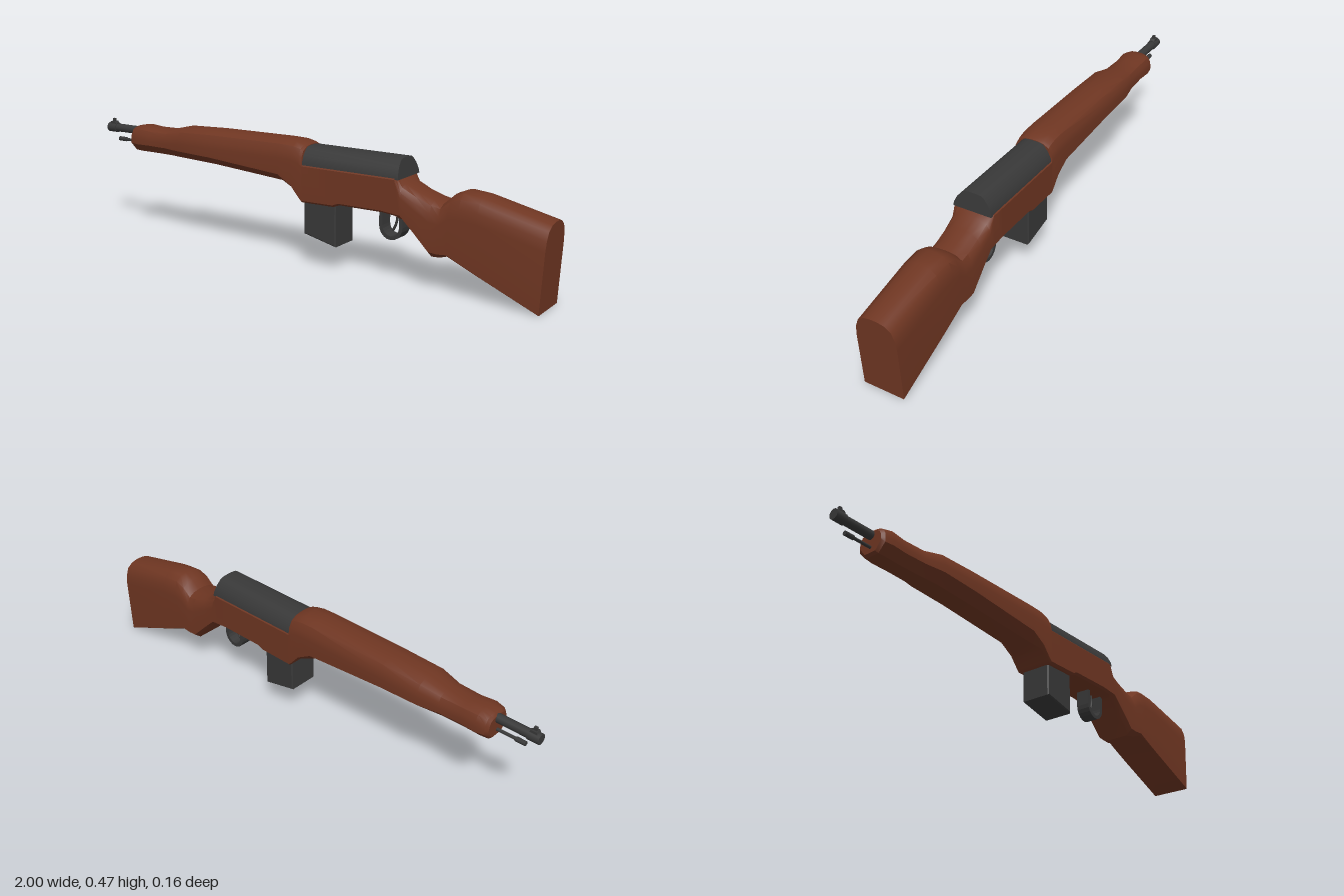
import * as THREE from 'three';
import { toCreasedNormals } from 'three/addons/utils/BufferGeometryUtils.js';

const wood = new THREE.MeshStandardMaterial({ name: 'walnut', color: 0x6f3622 });
const steel = new THREE.MeshStandardMaterial({ name: 'dark steel', color: 0x383838 });
const { smoothstep } = THREE.MathUtils;

// Joins closed rings of [x, y, z] points, running along +x, into a capped solid
function loft(rings, crease) {
  const n = rings[0].length, pos = rings.flat(2), idx = [];
  for (let i = 0; i < rings.length - 1; i++) {
    for (let j = 0; j < n; j++) {
      const a = i * n + j, b = i * n + (j + 1) % n;
      idx.push(a, b, b + n, a, b + n, a + n);
    }
  }
  const last = (rings.length - 1) * n;
  for (let j = 1; j < n - 1; j++) {
    idx.push(0, j + 1, j, last, last + j, last + j + 1);
  }
  const g = new THREE.BufferGeometry();
  g.setAttribute('position', new THREE.Float32BufferAttribute(pos, 3));
  g.setIndex(idx);
  return toCreasedNormals(g, crease);
}

// Mirrors a half outline of [halfWidth, y], bottom to top, into a full ring
function ring(x, half, slant) {
  const y0 = half[0][1], h = half[half.length - 1][1] - y0;
  const at = ([w, y], s) => [x + slant * (y - y0) / h, y, s * w];
  return [...half.map(p => at(p, -1)), ...half.map(p => at(p, 1)).reverse()];
}

// Stock section: chamfered belly, upright sides, top rounded over a given height
function stockRing(x, bottom, top, w, belly, round) {
  return ring(x, [
    [w * belly, bottom], [w, bottom + 0.065 * (1 - belly)], [w, top - round],
    [w * 0.95, top - round * 0.6], [w * 0.8, top - round * 0.25],
    [w * 0.5, top - round * 0.06], [w * 0.18, top],
  ], 0.016 * smoothstep(x, 0.75, 0.983));
}

// Flat outline in x and y, extruded evenly about z = 0
function plate(points, width, hole, bevel = 0) {
  const shape = new THREE.Shape(points.map(p => new THREE.Vector2(...p)));
  if (hole) shape.holes.push(new THREE.Path(hole.map(p => new THREE.Vector2(...p))));
  const depth = width - 2 * bevel;
  return new THREE.ExtrudeGeometry(shape, {
    depth, bevelEnabled: bevel > 0, bevelSize: bevel, bevelOffset: -bevel,
    bevelThickness: bevel, bevelSegments: 1,
  }).translate(0, 0, -depth / 2);
}

export function createModel() {
  const model = new THREE.Group();
  const add = (name, geometry, material) => {
    const mesh = new THREE.Mesh(geometry, material);
    mesh.name = name;
    model.add(mesh);
  };
  // Round bar lying along x
  const bar = (name, x0, x1, y, r, sides = 16) => add(name,
    new THREE.CylinderGeometry(r, r, x1 - x0, sides).rotateZ(Math.PI / 2)
      .translate((x0 + x1) / 2, y, 0), steel);

  // Fore-end: x, bottom, top, half width; the belly widens towards the magazine
  const foreEnd = [
    [-0.835, 0.355, 0.435, 0.05], [-0.825, 0.347, 0.445, 0.06], [-0.79, 0.346, 0.452, 0.066],
    [-0.73, 0.346, 0.447, 0.062], [-0.64, 0.346, 0.448, 0.066], [-0.56, 0.345, 0.467, 0.08],
    [-0.4, 0.339, 0.474, 0.08], [-0.07, 0.318, 0.478, 0.08], [-0.01, 0.3, 0.476, 0.08],
    [0.025, 0.265, 0.468, 0.08], [0.037, 0.253, 0.462, 0.08],
  ].map(([x, bottom, top, w]) => stockRing(x, bottom, top, w,
    0.5 + 0.4 * smoothstep(x, -0.1, 0.03), Math.min(0.07, 0.5 * (top - bottom))));

  // Receiver bed: x, bottom
  const bed = [[0.04, 0.252], [0.175, 0.254], [0.2, 0.264], [0.38, 0.265], [0.43, 0.26]]
    .map(([x, bottom]) => stockRing(x, bottom, 0.402, 0.08, 0.88, 0.012));

  // Wrist and butt: x, bottom, top, belly ratio
  const butt = [
    [0.455, 0.246, 0.375, 0.7], [0.51, 0.19, 0.352, 0.65], [0.57, 0.13, 0.334, 0.65],
    [0.605, 0.134, 0.326, 0.75], [0.64, 0.147, 0.357, 0.9], [0.68, 0.132, 0.374, 0.96],
    [0.75, 0.102, 0.368, 0.98], [0.983, 0.004, 0.312, 0.98],
  ].map(([x, bottom, top, belly]) => stockRing(x, bottom, top, 0.08, belly,
    Math.min(0.09, 0.37 * (top - bottom))));
  add('stock', loft([...foreEnd, ...bed, ...butt], 0.6), wood);

  // Receiver cover with an arched roof and slightly raked rear
  const roof = [[0.077, 0.39], [0.075, 0.405], [0.063, 0.43], [0.045, 0.451],
    [0.033, 0.458], [0.012, 0.46]];
  add('receiverCover', loft([ring(0.036, roof, 0), ring(0.445, roof, -0.01)], 0.6), steel);

  // Magazine with a sloping floor
  add('magazine', plate([[0.038, 0.27], [0.038, 0.13], [0.178, 0.098], [0.178, 0.27]],
    0.124, null, 0.005), steel);

  // Trigger guard: a U-shaped strap made from two concentric half ovals
  const strap = (rx, ry) => [[0.391 - rx, 0.27], ...Array.from({ length: 11 }, (_, i) => {
    const a = Math.PI * (1 + i / 10);
    return [0.391 + rx * Math.cos(a), 0.205 + ry * Math.sin(a)];
  }), [0.391 + rx, 0.27]];
  add('triggerGuard', plate([...strap(0.048, 0.051), ...strap(0.034, 0.037).reverse()], 0.055),
    steel);
  const curve = new THREE.CatmullRomCurve3([[0.4, 0.27], [0.403, 0.235], [0.396, 0.205],
    [0.385, 0.183]].map(([x, y]) => new THREE.Vector3(x, y, 0)));
  add('trigger', new THREE.TubeGeometry(curve, 10, 0.005, 8), steel);

  // Barrel, muzzle and cleaning rod
  bar('barrel', -0.99, -0.8, 0.422, 0.017);
  bar('muzzle', -1, -0.955, 0.422, 0.02);
  bar('cleaningRod', -0.94, -0.8, 0.376, 0.006, 10);
  bar('cleaningRodTip', -0.948, -0.91, 0.376, 0.009, 10);

  // Front sight: ramp and post
  add('sightRamp', plate([[-0.99, 0.435], [-0.955, 0.435], [-0.965, 0.448], [-0.985, 0.448]],
    0.022), steel);
  add('sightPost', new THREE.BoxGeometry(0.012, 0.026, 0.01).translate(-0.975, 0.447, 0), steel);

  return model;
}
